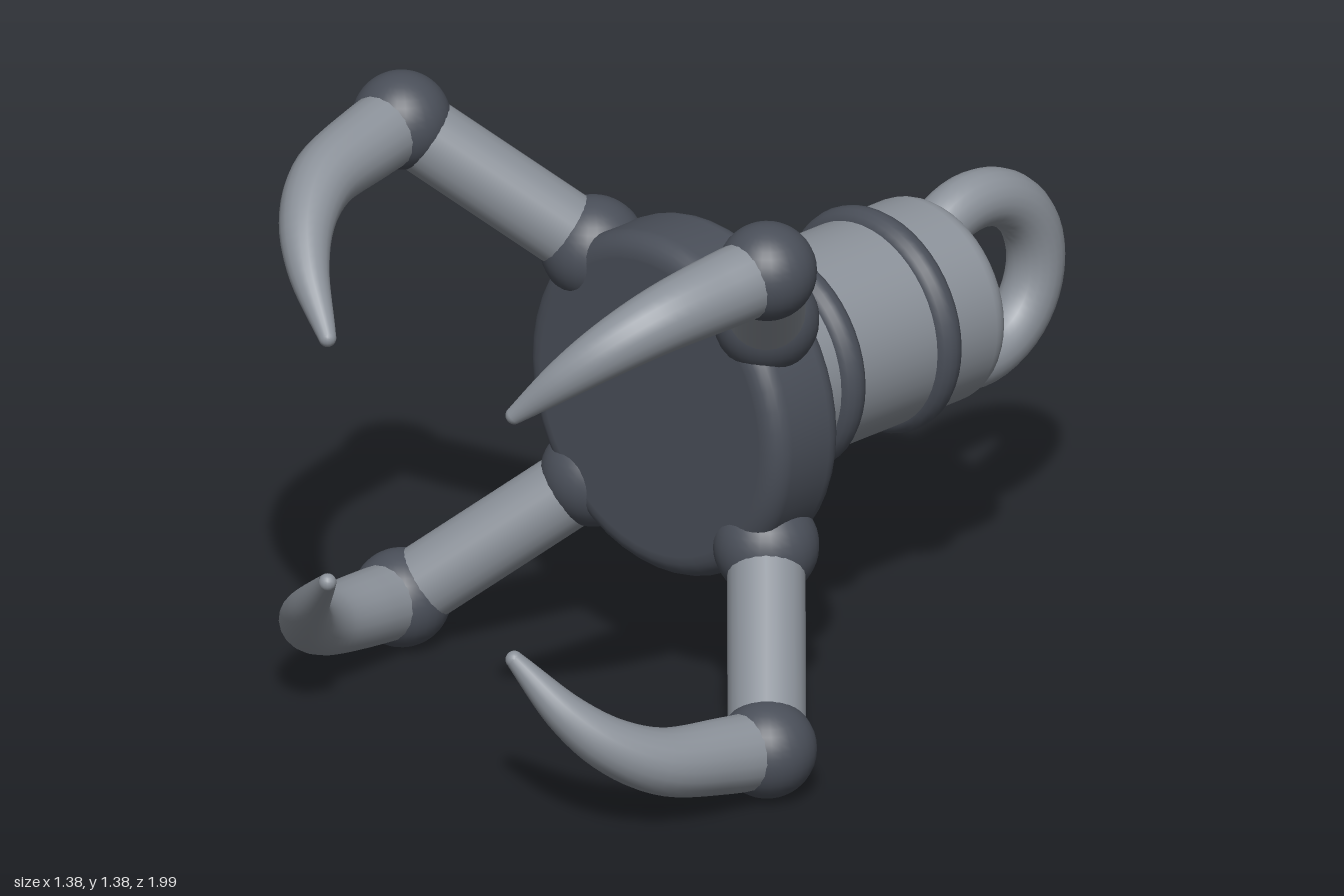
import * as THREE from 'three';

const AXIS_Y = 0.69; // height of the central axis, which runs along z

const steel = new THREE.MeshStandardMaterial({ color: 0x8b9199 });
steel.name = 'lightSteel';
const iron = new THREE.MeshStandardMaterial({ color: 0x4a4f59 });
iron.name = 'darkIron';

function add(parent, name, geometry, material, x = 0, y = 0, z = 0) {
  const mesh = new THREE.Mesh(geometry, material);
  mesh.name = name;
  mesh.position.set(x, y, z);
  parent.add(mesh);
  return mesh;
}

// Drum along z with rounded rims
function roundedDrum(radius, z0, z1, bevel) {
  const points = [new THREE.Vector2(0, z0), new THREE.Vector2(radius - bevel - 0.005, z0)];
  for (const [z, start] of [[z0 + bevel, -Math.PI / 2], [z1 - bevel, 0]]) {
    for (let i = 0; i <= 6; i++) {
      const a = start + (i / 6) * Math.PI / 2;
      points.push(new THREE.Vector2(radius - bevel + bevel * Math.cos(a), z + bevel * Math.sin(a)));
    }
  }
  points.push(new THREE.Vector2(radius - bevel - 0.005, z1), new THREE.Vector2(0, z1));
  return new THREE.LatheGeometry(points, 48).rotateX(Math.PI / 2);
}

// Tube along a curve whose radius follows a rule of t
function taperedTube(curve, radiusAt, segments = 28, sides = 20) {
  const geometry = new THREE.TubeGeometry(curve, segments, 1, sides);
  const pos = geometry.attributes.position;
  const v = new THREE.Vector3();
  for (let i = 0; i <= segments; i++) {
    const centre = curve.getPointAt(i / segments);
    for (let j = 0; j <= sides; j++) {
      const k = i * (sides + 1) + j;
      v.fromBufferAttribute(pos, k).sub(centre).multiplyScalar(radiusAt(i / segments)).add(centre);
      pos.setXYZ(k, v.x, v.y, v.z);
    }
  }
  return geometry;
}

// One jointed arm; sx and sy choose the diagonal
function createArm(sx, sy) {
  const arm = new THREE.Group();
  const at = (d, z) => new THREE.Vector3(sx * d, sy * d, z);
  const shoulder = at(0.273, 0.168);
  const knuckle = at(0.577, 0.463);
  add(arm, 'shoulderJoint', new THREE.SphereGeometry(0.118, 28, 20), iron, ...shoulder);
  add(arm, 'knuckleJoint', new THREE.SphereGeometry(0.111, 28, 20), iron, ...knuckle);

  const bone = new THREE.LineCurve3(shoulder, knuckle);
  add(arm, 'upperArm', new THREE.TubeGeometry(bone, 2, 0.087, 24), steel);

  // Claw hooks forward and back toward the axis
  const path = new THREE.CatmullRomCurve3([
    knuckle, at(0.563, 0.58), at(0.533, 0.75), at(0.48, 0.85), at(0.41, 0.915), at(0.295, 0.968),
  ]);
  const tip = 0.02;
  add(arm, 'claw', taperedTube(path, (t) => tip + 0.068 * (1 - Math.pow(t, 1.9))), steel);
  add(arm, 'clawTip', new THREE.SphereGeometry(tip, 16, 12), steel, ...path.getPoint(1));
  return arm;
}

export function createModel() {
  const model = new THREE.Group();
  model.name = 'grapplingHook';
  const body = new THREE.Group();
  body.name = 'body';
  body.position.y = AXIS_Y;
  model.add(body);

  add(body, 'hub', roundedDrum(0.4, 0.046, 0.26, 0.05), iron);
  add(body, 'barrel', roundedDrum(0.237, -0.632, 0.07, 0.05), steel);

  // Bands around the barrel
  for (const z of [-0.135, -0.432]) {
    add(body, 'band', new THREE.TorusGeometry(0.225, 0.037, 16, 48), iron, 0, 0, z);
  }

  // Rope ring at the back
  add(body, 'ropeRing', new THREE.TorusGeometry(0.192, 0.066, 20, 48).rotateY(Math.PI / 2), steel, 0, 0, -0.741);

  // Four arms on the diagonals
  for (const sx of [1, -1]) {
    for (const sy of [1, -1]) {
      const arm = createArm(sx, sy);
      arm.name = (sy > 0 ? 'upper' : 'lower') + (sx > 0 ? 'Left' : 'Right') + 'Arm';
      body.add(arm);
    }
  }
  return model;
}
